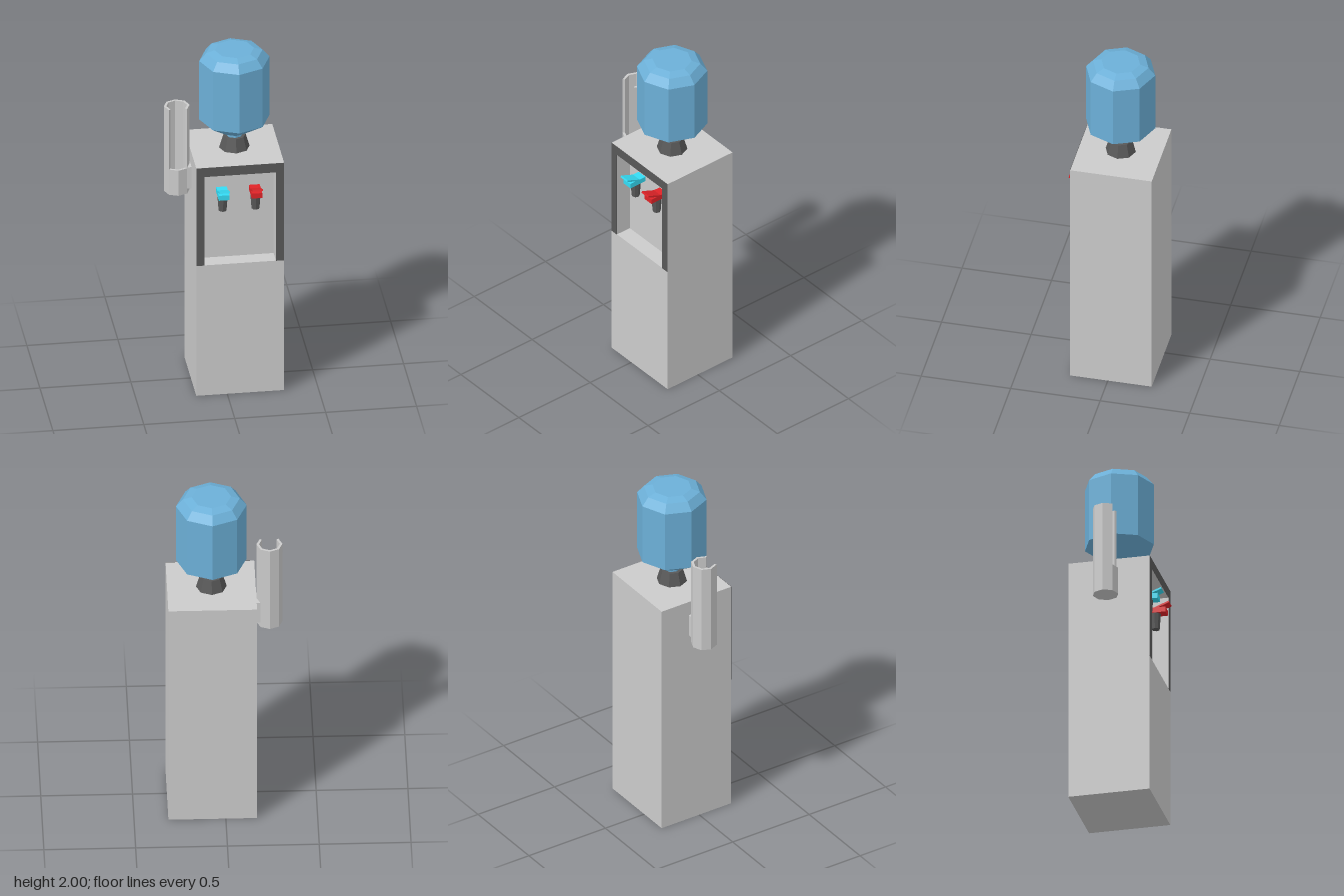
import * as THREE from 'three';

const mat = (color, extra = {}) => new THREE.MeshStandardMaterial({ color, flatShading: true, ...extra });
const grey = mat(0xcccccc);
const dark = mat(0x585858);
const blue = mat(0x6cb0d8);

function add(parent, name, geometry, material, x = 0, y = 0, z = 0) {
  const mesh = new THREE.Mesh(geometry, material);
  mesh.name = name;
  mesh.position.set(x, y, z);
  parent.add(mesh);
  return mesh;
}

const points = (list) => list.map(([x, y]) => new THREE.Vector2(x, y));
const extrude = (shape, depth) => new THREE.ExtrudeGeometry(shape, { depth, bevelEnabled: false });

// Corners of an octagon from step a to step b (45 degrees each)
function octagon(r, a, b) {
  const list = [];
  for (let k = a; k <= b; k++) list.push([r * Math.cos(k * Math.PI / 4), r * Math.sin(k * Math.PI / 4)]);
  return points(list);
}

const L = -0.17, R = 0.313, TOP = 1.4;           // cabinet sides and top
const BACK = -0.245, RECESS = 0.12, FRONT = 0.21; // cabinet depths
const CX = (L + R) / 2, CZ = -0.017;              // bottle axis
const IN_L = -0.125, IN_R = 0.268, IN_B = 0.8, IN_T = 1.345; // recess opening

function makeCabinet() {
  const g = new THREE.Group();
  g.name = 'cabinet';
  add(g, 'cabinetBody', new THREE.BoxGeometry(R - L, TOP, RECESS - BACK), grey, CX, TOP / 2, (BACK + RECESS) / 2);

  // Front section with the tap recess cut through it
  const front = new THREE.Shape(points([[L, 0], [R, 0], [R, TOP], [L, TOP]]));
  front.holes.push(new THREE.Path(points([[IN_L, IN_B], [IN_L, IN_T], [IN_R, IN_T], [IN_R, IN_B]])));
  add(g, 'cabinetFront', extrude(front, FRONT - RECESS), grey, 0, 0, RECESS);

  // Dark trim around three sides of the recess
  const trim = new THREE.Shape(points([
    [L, IN_B], [IN_L, IN_B], [IN_L, IN_T], [IN_R, IN_T], [IN_R, IN_B], [R, IN_B], [R, TOP], [L, TOP]]));
  add(g, 'recessTrim', extrude(trim, 0.002), dark, 0, 0, FRONT);
  return g;
}

function makeBottle() {
  const g = new THREE.Group();
  g.name = 'bottle';
  g.position.set(CX, 0, CZ);
  add(g, 'bottleCollar', new THREE.CylinderGeometry(0.062, 0.084, 0.075, 8), dark, 0, TOP + 0.0375, 0);
  const profile = points([[0, 1.46], [0.045, 1.46], [0.045, 1.488], [0.07, 1.5], [0.193, 1.58],
    [0.193, 1.94], [0.155, 1.985], [0.108, 2], [0, 2]]);
  add(g, 'waterBottle', new THREE.LatheGeometry(profile, 8), blue);
  return g;
}

function makeTap(name, x, color) {
  const g = new THREE.Group();
  g.name = name;
  g.position.x = x;
  const paint = mat(color);
  add(g, 'tapBlock', new THREE.BoxGeometry(0.058, 0.03, 0.225 - RECESS), paint, 0, 1.215, (0.225 + RECESS) / 2);
  const lever = add(g, 'tapLever', new THREE.BoxGeometry(0.058, 0.01, 0.1), paint, 0, 1.24, 0.199);
  lever.rotation.x = -0.38;
  add(g, 'tapSpout', new THREE.CylinderGeometry(0.029, 0.022, 0.094, 8), dark, 0, 1.157, 0.165);
  return g;
}

function makeCupHolder() {
  const g = new THREE.Group();
  g.name = 'cupHolder';
  g.position.set(-0.245, 0, -0.018);
  const ro = 0.071, ri = 0.057, bottom = 1.155, mid = 1.31, top = 1.675;
  const upright = (shape, h) => extrude(shape, h).rotateX(-Math.PI / 2);

  // Closed lower tube with a floor
  const ring = new THREE.Shape(octagon(ro, 0, 7));
  ring.holes.push(new THREE.Path(octagon(ri, 0, 7).reverse()));
  add(g, 'holderBase', upright(ring, mid - bottom), grey, 0, bottom, 0);
  add(g, 'holderFloor', new THREE.CylinderGeometry(ri, ri, 0.01, 8), grey, 0, bottom + 0.005, 0);

  // Upper tube, open at the front
  const open = new THREE.Shape([...octagon(ro, -1, 5), ...octagon(ri, -1, 5).reverse()]);
  add(g, 'holderSleeve', upright(open, top - mid), grey, 0, mid, 0);

  // Block joining the holder to the cabinet
  add(g, 'holderBracket', new THREE.BoxGeometry(0.025, 0.13, 0.098), grey, 0.0625, 1.25, 0);
  return g;
}

export function createModel() {
  const model = new THREE.Group();
  model.name = 'waterCooler';
  model.add(
    makeCabinet(),
    makeBottle(),
    makeTap('coldTap', -0.019, 0x35dcf5),
    makeTap('hotTap', 0.162, 0xe02428),
    makeCupHolder(),
  );
  return model;
}
